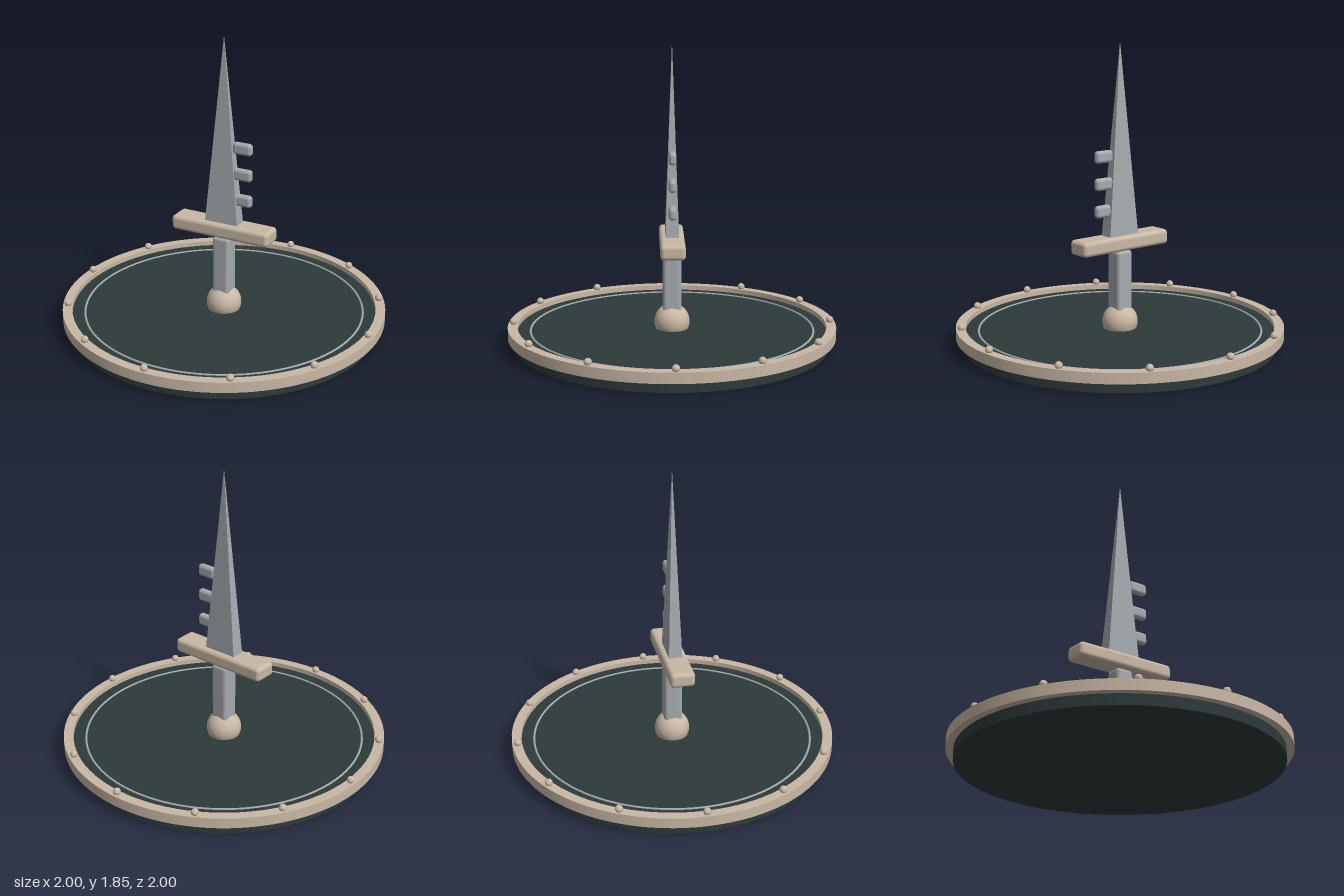
import * as THREE from 'three';
import { toCreasedNormals } from 'three/addons/utils/BufferGeometryUtils.js';
import { RoundedBoxGeometry } from 'three/addons/geometries/RoundedBoxGeometry.js';

export function createModel() {
  const model = new THREE.Group();
  const mat = (name, color) => {
    const m = new THREE.MeshStandardMaterial({ color });
    m.name = name;
    return m;
  };
  const bronze = mat('pale bronze', 0xc9b8a5);
  const steel = mat('steel', 0xa5abaf);
  const slate = mat('dark slate', 0x2d3a3a);

  const add = (name, geometry, material, x = 0, y = 0, z = 0, parent = model) => {
    const mesh = new THREE.Mesh(geometry, material);
    mesh.name = name;
    mesh.position.set(x, y, z);
    parent.add(mesh);
    return mesh;
  };

  // Base disc
  add('baseDisc', new THREE.CylinderGeometry(0.955, 0.955, 0.1, 96), slate, 0, 0.05, 0);

  // Rim: square-edged band around the disc
  const rimProfile = [[0.94, 0.065], [1, 0.065], [1, 0.13], [0.94, 0.13], [0.94, 0.065]]
    .map(([r, y]) => new THREE.Vector2(r, y));
  add('rim', toCreasedNormals(new THREE.LatheGeometry(rimProfile, 96), 0.6), bronze);

  // Thin inlaid ring
  const inlay = add('inlayRing', new THREE.TorusGeometry(0.862, 0.007, 8, 96), steel, 0, 0.1, 0);
  inlay.rotation.x = Math.PI / 2;

  // Studs around the rim
  const studs = new THREE.Group();
  studs.name = 'rimStuds';
  model.add(studs);
  const studGeometry = new THREE.SphereGeometry(0.023, 16, 12);
  for (let i = 0; i < 12; i++) {
    const a = (i * Math.PI) / 6;
    add('stud', studGeometry, bronze, 0.968 * Math.cos(a), 0.144, 0.968 * Math.sin(a), studs);
  }

  // Pommel and grip
  add('pommel', new THREE.SphereGeometry(0.108, 32, 24), bronze, 0, 0.142, 0);
  add('grip', new RoundedBoxGeometry(0.112, 0.42, 0.112, 4, 0.022), steel, 0, 0.378, 0);

  // Crossguard
  add('crossguard', new RoundedBoxGeometry(0.656, 0.092, 0.15, 4, 0.025), bronze, 0, 0.637, 0);

  // Blade: slender four-sided pyramid
  const blade = new THREE.ConeGeometry(Math.SQRT2, 1.17, 4, 1);
  blade.rotateY(Math.PI / 4);
  blade.scale(0.109, 1, 0.041);
  add('blade', toCreasedNormals(blade, 0.1), steel, 0, 1.265, 0);

  // Teeth along one edge of the blade
  for (const y of [0.84, 1.005, 1.17]) {
    add('bladeTooth', new RoundedBoxGeometry(0.125, 0.075, 0.046, 4, 0.021), steel, 0.127, y, 0);
  }

  return model;
}
